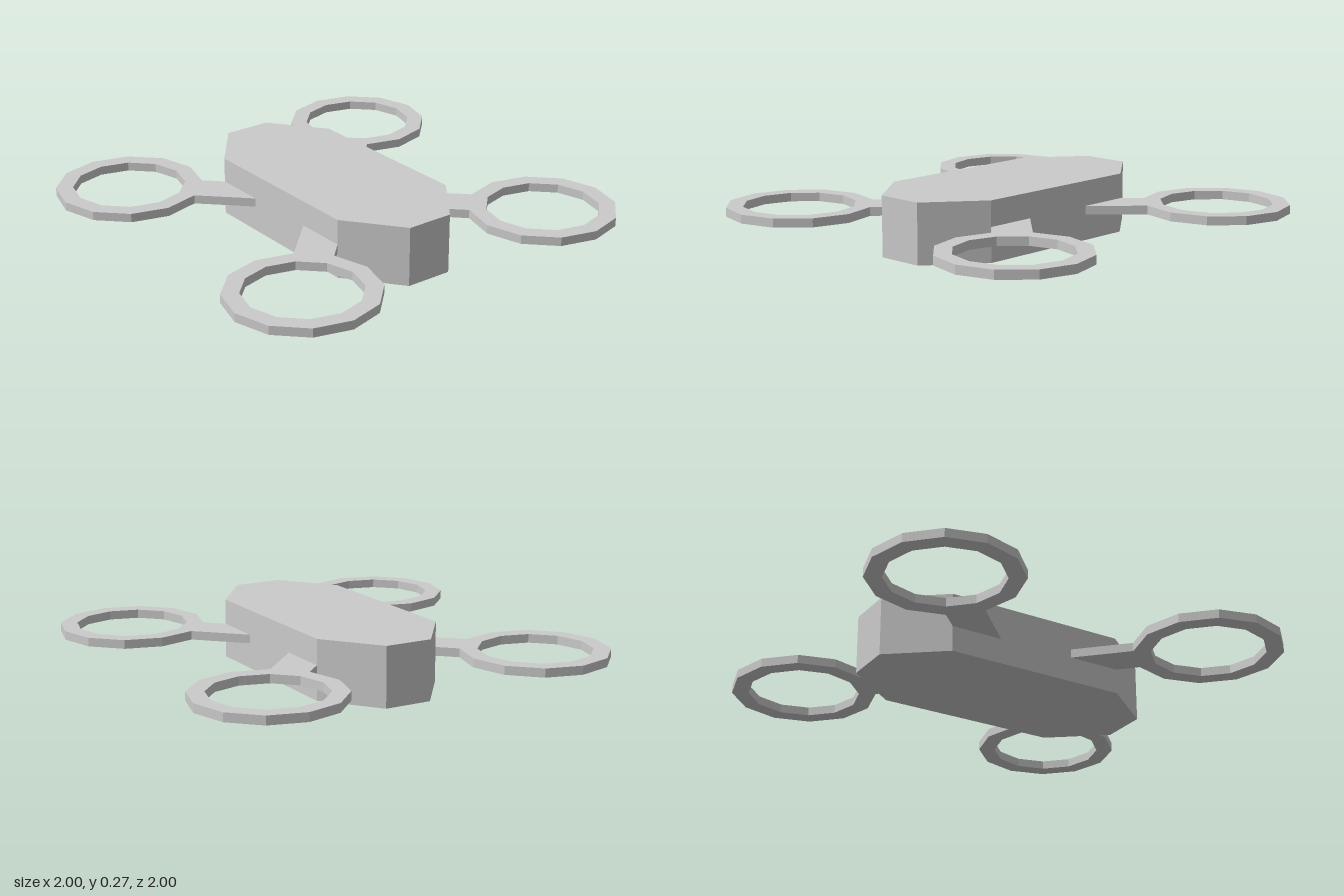
import * as THREE from 'three';

const material = new THREE.MeshStandardMaterial({ color: 0xcccccc, flatShading: true });

// Flat outline in x/z, raised from y = bottom to y = bottom + height
function slab(name, shape, bottom, height) {
  const geometry = new THREE.ExtrudeGeometry(shape, { depth: height, bevelEnabled: false });
  geometry.rotateX(-Math.PI / 2).translate(0, bottom, 0);
  const mesh = new THREE.Mesh(geometry, material);
  mesh.name = name;
  return mesh;
}

// Corner points of a twelve-sided ring edge
function ringPoints(radius, centre) {
  return Array.from({ length: 12 }, (_, i) => {
    const a = (i * Math.PI) / 6;
    return new THREE.Vector2(centre + radius * Math.cos(a), centre + radius * Math.sin(a));
  });
}

// Rotor guard with its diagonal arm, mirrored into one quadrant
function rotorGuard(name, sx, sy) {
  const centre = 0.667;
  // A single mirroring flips the winding, so turn the order back
  const place = (points) => {
    const placed = points.map((p) => new THREE.Vector2(p.x * sx, p.y * sy));
    return sx * sy < 0 ? placed.reverse() : placed;
  };
  const outer = ringPoints(0.333, centre);
  // The arm replaces the ring edge facing the body and runs just into it
  outer.splice(8, 0, new THREE.Vector2(0.28, 0.402), new THREE.Vector2(0.28, 0.16));
  const shape = new THREE.Shape(place(outer));
  shape.holes.push(new THREE.Path(place(ringPoints(0.256, centre))));
  return slab(name, shape, 0.117, 0.04);
}

export function createModel() {
  const model = new THREE.Group();
  model.name = 'quadcopter';

  // Body: long block with chamfered corners
  const body = new THREE.Shape(
    [[0.11, 0.672], [-0.11, 0.672], [-0.302, 0.424], [-0.302, -0.424],
      [-0.11, -0.672], [0.11, -0.672], [0.302, -0.424], [0.302, 0.424]]
      .map(([x, y]) => new THREE.Vector2(x, y)));
  model.add(slab('body', body, 0, 0.272));

  // Four rotor guards (shape y points to the back)
  for (const [side, sx] of [['Left', 1], ['Right', -1]]) {
    for (const [end, sy] of [['front', -1], ['back', 1]]) {
      model.add(rotorGuard(`${end}${side}RotorGuard`, sx, sy));
    }
  }
  return model;
}
